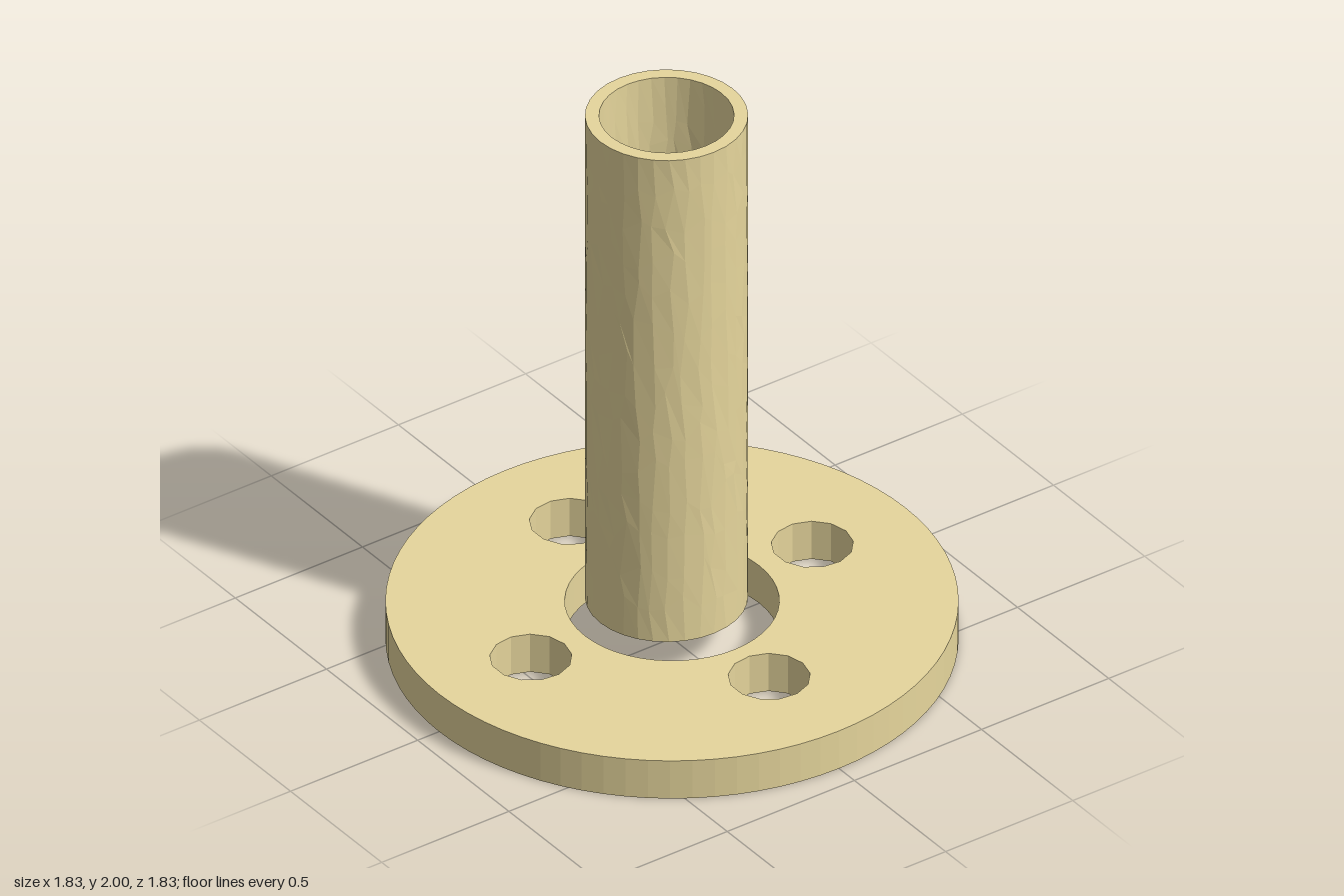
import * as THREE from 'three';

const FLANGE_H = 0.145;

// Points of a regular circle, in the plan of the flange
function circle(cx, cy, r, sides) {
  return Array.from({ length: sides }, (_, i) => {
    const a = (i / sides) * Math.PI * 2;
    return new THREE.Vector2(cx + r * Math.cos(a), cy + r * Math.sin(a));
  });
}

// Repeatable value in -1..1 for a grid cell
function noise(i, j) {
  const s = Math.sin(i * 127.1 + j * 311.7) * 43758.5453;
  return (s - Math.floor(s)) * 2 - 1;
}

// Round plate with a centre bore and four bolt holes
function flangeGeometry() {
  const shape = new THREE.Shape(circle(0, 0, 0.916, 80));
  shape.holes.push(new THREE.Path(circle(0, 0, 0.343, 48)));
  for (const [x, z] of [[0.552, 0], [-0.555, 0], [0, 0.533], [0, -0.557]]) {
    shape.holes.push(new THREE.Path(circle(x, -z, 0.132, 13)));
  }
  const geo = new THREE.ExtrudeGeometry(shape, { depth: FLANGE_H, bevelEnabled: false });
  return geo.rotateX(-Math.PI / 2);
}

// Hollow pipe whose wall vertices slide along the surface for an uneven faceted skin
function pipeGeometry() {
  const rows = 14, sides = 32, outer = 0.261, inner = 0.216;
  const step = (2 - FLANGE_H) / rows;
  const profile = [];
  for (let j = 0; j <= rows; j++) profile.push(new THREE.Vector2(outer, FLANGE_H + j * step));
  for (let j = rows; j >= 0; j--) profile.push(new THREE.Vector2(inner, FLANGE_H + j * step));
  profile.push(profile[0].clone());

  const geo = new THREE.LatheGeometry(profile, sides);
  const pos = geo.attributes.position;
  for (let v = 0; v < pos.count; v++) {
    const j = v % profile.length;
    const i = Math.floor(v / profile.length) % sides;
    const y = profile[j].y;
    if (y < FLANGE_H + step / 2 || y > 2 - step / 2) continue; // rims stay true
    const a = ((i + 0.32 * noise(i, j)) / sides) * Math.PI * 2;
    const r = profile[j].x;
    pos.setXYZ(v, r * Math.sin(a), y + 0.35 * step * noise(j + 50, i), r * Math.cos(a));
  }
  geo.computeVertexNormals();
  return geo;
}

export function createModel() {
  const group = new THREE.Group();
  const material = new THREE.MeshStandardMaterial({ color: 0xe6d69c, flatShading: true });

  const flange = new THREE.Mesh(flangeGeometry(), material);
  flange.name = 'flange';

  // The pipe starts level with the flange top, slightly behind its centre
  const pipe = new THREE.Mesh(pipeGeometry(), material);
  pipe.name = 'pipe';
  pipe.position.z = -0.03;

  group.add(flange, pipe);
  return group;
}
